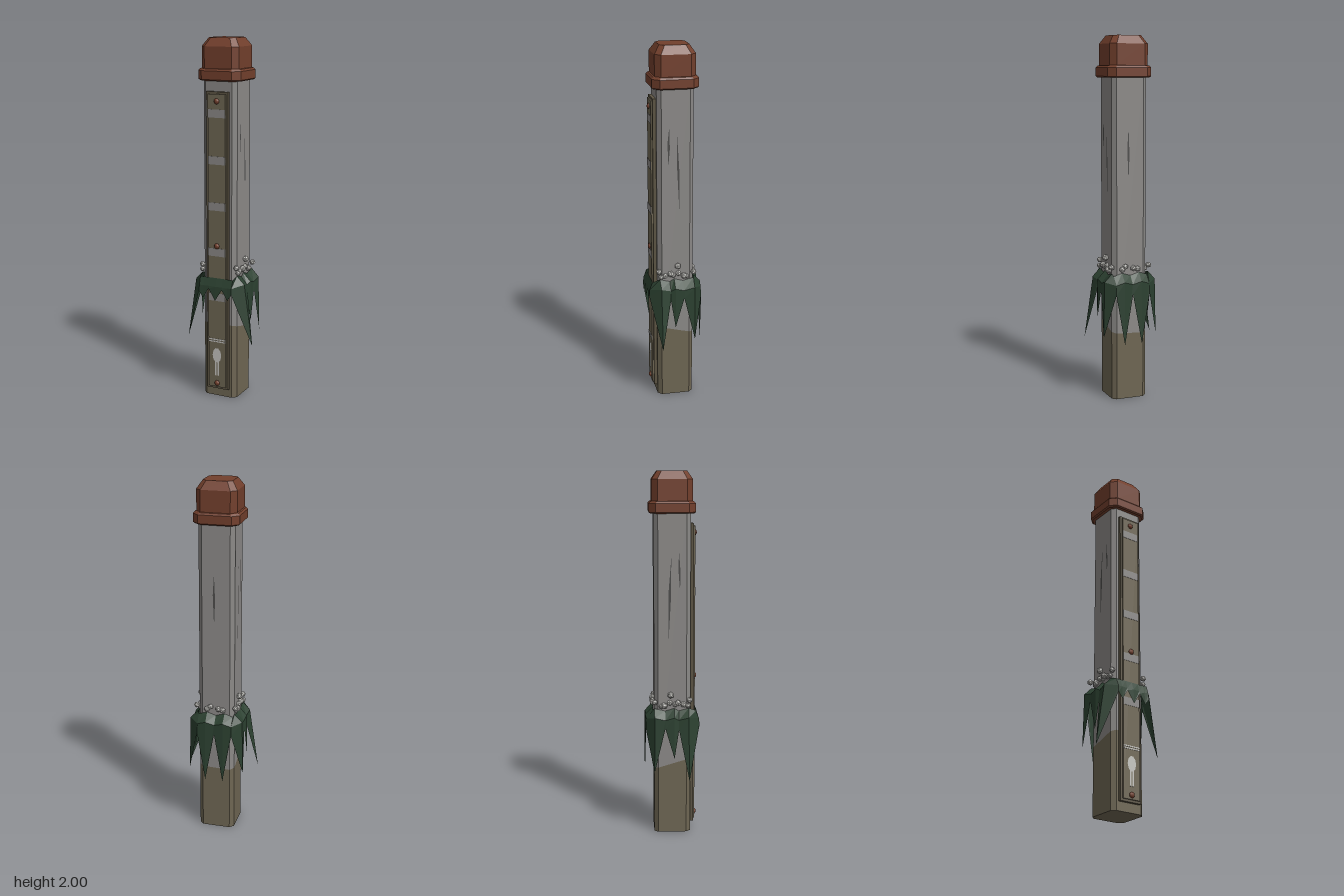
import * as THREE from 'three';

const mat = (name, color, side = THREE.FrontSide) => {
  const m = new THREE.MeshStandardMaterial({ color, side });
  m.name = name;
  return m;
};

// Flat-faced skin over rings of [x, y, z] points, listed from low to high
function loft(rings, closed = true) {
  const pos = [];
  const n = rings[0].length;
  const tri = (...pts) => pts.forEach((p) => pos.push(...p));
  for (let r = 0; r < rings.length - 1; r++) {
    for (let i = 0; i < n; i++) {
      const j = (i + 1) % n, lo = rings[r], up = rings[r + 1];
      tri(lo[i], lo[j], up[j]);
      tri(lo[i], up[j], up[i]);
    }
  }
  if (closed) {
    const lo = rings[0], up = rings[rings.length - 1];
    for (let i = 1; i < n - 1; i++) {
      tri(lo[0], lo[i + 1], lo[i]);
      tri(up[0], up[i], up[i + 1]);
    }
  }
  const g = new THREE.BufferGeometry();
  g.setAttribute('position', new THREE.Float32BufferAttribute(pos, 3));
  g.computeVertexNormals();
  return g;
}

// Square ring with cut corners; y is a number or a rule of (x, z)
function ring(h, c, y) {
  const k = h - c;
  return [[-k, h], [k, h], [h, k], [h, -k], [k, -h], [-k, -h], [-h, -k], [-h, k]]
    .map(([x, z]) => [x, typeof y === 'function' ? y(x, z) : y, z]);
}

export function createModel() {
  const model = new THREE.Group();
  model.name = 'markerPost';
  const stone = mat('paleGrey', 0x8b8987);
  const mud = mat('mudBrown', 0x6e6653);
  const frameMat = mat('darkMud', 0x5c5443);
  const rust = mat('rust', 0x723f2c);
  const leaf = mat('darkGreen', 0x2b4030, THREE.DoubleSide);
  const white = mat('offWhite', 0xc6c5c0);
  const dark = mat('crackGrey', 0x4c4b4a, THREE.DoubleSide);

  const add = (name, geo, material, x = 0, y = 0, z = 0, parent = model) => {
    const m = new THREE.Mesh(geo, material);
    m.name = name;
    m.position.set(x, y, z);
    parent.add(m);
    return m;
  };
  const group = (name) => {
    const g = new THREE.Group();
    g.name = name;
    model.add(g);
    return g;
  };

  // Post, split along a slanted mud line
  const mudLine = (x, z) => 0.4 + 0.27 * z + 0.04 * x * (z < 0 ? 1 : 0);
  add('muddyBase', loft([ring(0.1, 0.022, 0), ring(0.1, 0.022, mudLine)]), mud);
  add('postShaft', loft([ring(0.1, 0.022, mudLine), ring(0.1, 0.022, 1.79)]), stone);

  // Cap with a flared rim and bevelled top
  add('cap', loft([
    ring(0.118, 0.034, 1.775), ring(0.126, 0.036, 1.782), ring(0.126, 0.036, 1.828),
    ring(0.118, 0.034, 1.838), ring(0.11, 0.03, 1.84), ring(0.11, 0.03, 1.955), ring(0.08, 0.024, 2),
  ]), rust);

  // Front plate: frame, raised panel, worn bands and bolts
  const plate = group('frontPlate');
  add('plateFrame', new THREE.BoxGeometry(0.13, 1.67, 0.024), frameMat, 0, 0.885, 0.106, plate);
  add('platePanel', new THREE.BoxGeometry(0.104, 1.645, 0.012), mud, 0, 0.885, 0.12, plate);
  for (const y of [1.605, 1.353, 1.1, 0.845, 0.59]) {
    add('wornBand', new THREE.BoxGeometry(0.104, 0.044, 0.003), stone, 0, y, 0.1262, plate);
  }
  const boltGeo = new THREE.SphereGeometry(0.016, 8, 6);
  for (const y of [1.67, 0.88, 0.085]) {
    add('bolt', boltGeo, rust, 0, y, 0.126, plate).scale.z = 0.75;
  }

  // Painted sign at the foot of the plate
  const sign = group('paintedSign');
  for (const y of [0.331, 0.343]) {
    add('signLine', new THREE.BoxGeometry(0.104, 0.007, 0.003), white, 0, y, 0.1265, sign);
  }
  add('signHead', new THREE.CircleGeometry(0.027, 10), white, 0, 0.25, 0.1275, sign).scale.y = 1.6;
  for (const s of [-1, 1]) {
    add('signStem', new THREE.BoxGeometry(0.009, 0.09, 0.003), white, s * 0.008, 0.175, 0.1265, sign);
  }

  // Cracks: slim slivers from (u, top) to (u2, bottom) on a face
  const cracks = group('cracks');
  const crack = (u, top, u2, bottom, angle) => {
    const m = (u + u2) / 2, y = top * 0.6 + bottom * 0.4;
    const shape = new THREE.Shape([[u, top], [m - 0.007, y], [u2, bottom], [m + 0.006, y - 0.03]]
      .map(([a, b]) => new THREE.Vector2(a, b)));
    const c = add('crack', new THREE.ShapeGeometry(shape), dark, 0, 0, 0, cracks);
    c.rotation.y = angle;
    c.position.set(Math.sin(angle) * 0.101, 0, Math.cos(angle) * 0.101);
  };
  for (const s of [1, -1]) {
    crack(-s * 0.036, 1.57, -s * 0.041, 1.36, s * Math.PI / 2);
    crack(s * 0.006, 1.54, s * 0.02, 1.1, s * Math.PI / 2);
  }
  crack(-0.01, 1.51, -0.01, 1.22, Math.PI);

  // Leaf skirt: hem of tips and notches as [x, hem y, z], mirrored in x
  const half = [
    [0, 0.575, 0.15], [0.04, 0.64, 0.148], [0.075, 0.585, 0.149], [0.1, 0.62, 0.15],
    [0.2, 0.325, 0.09], [0.143, 0.6, 0.035], [0.152, 0.44, 0.01], [0.148, 0.61, -0.04],
    [0.155, 0.36, -0.1], [0.098, 0.6, -0.146], [0.05, 0.32, -0.152], [0, 0.6, -0.145],
  ];
  const hem = [...half, ...half.slice(1, -1).reverse().map(([x, y, z]) => [-x, y, z])];
  const clamp = THREE.MathUtils.clamp;
  const shoulder = hem.map(([x, y, z]) => [clamp(x, -0.152, 0.152) * 0.98, y < 0.5 ? 0.67 : 0.655, z * 0.98]);
  const collar = hem.map(([x, y, z]) => [clamp(x, -0.105, 0.105), y < 0.5 ? 0.715 : 0.7, clamp(z, -0.105, 0.13)]);
  add('leafSkirt', loft([hem, shoulder, collar], false), leaf);

  // Small pale buds above the skirt
  const buds = group('buds');
  const budGeo = new THREE.IcosahedronGeometry(0.017, 0);
  const bud = (x, y, z, size, i) => {
    const b = add('bud', budGeo, white, x, y, z, buds);
    b.scale.setScalar(size);
    b.rotation.set(i, i * 1.7, i * 0.6);
  };
  const sideBuds = [
    [0.095, 0.76, 1], [0.085, 0.73, 0.9], [0.06, 0.735, 1], [0.03, 0.745, 1.1], [0.015, 0.735, 0.9],
    [-0.01, 0.79, 1.1], [-0.015, 0.745, 1], [-0.045, 0.73, 1.1], [-0.06, 0.725, 0.9], [-0.098, 0.75, 1],
  ];
  for (const s of [1, -1]) {
    sideBuds.forEach(([z, y, size], i) => bud(s * (0.104 + 0.006 * (i % 2)), y, z, size, i));
  }
  [[0.05, 0.735], [0.03, 0.75], [-0.015, 0.74], [-0.04, 0.735]]
    .forEach(([x, y], i) => bud(x, y, -0.108, 1, i + 3));

  return model;
}
